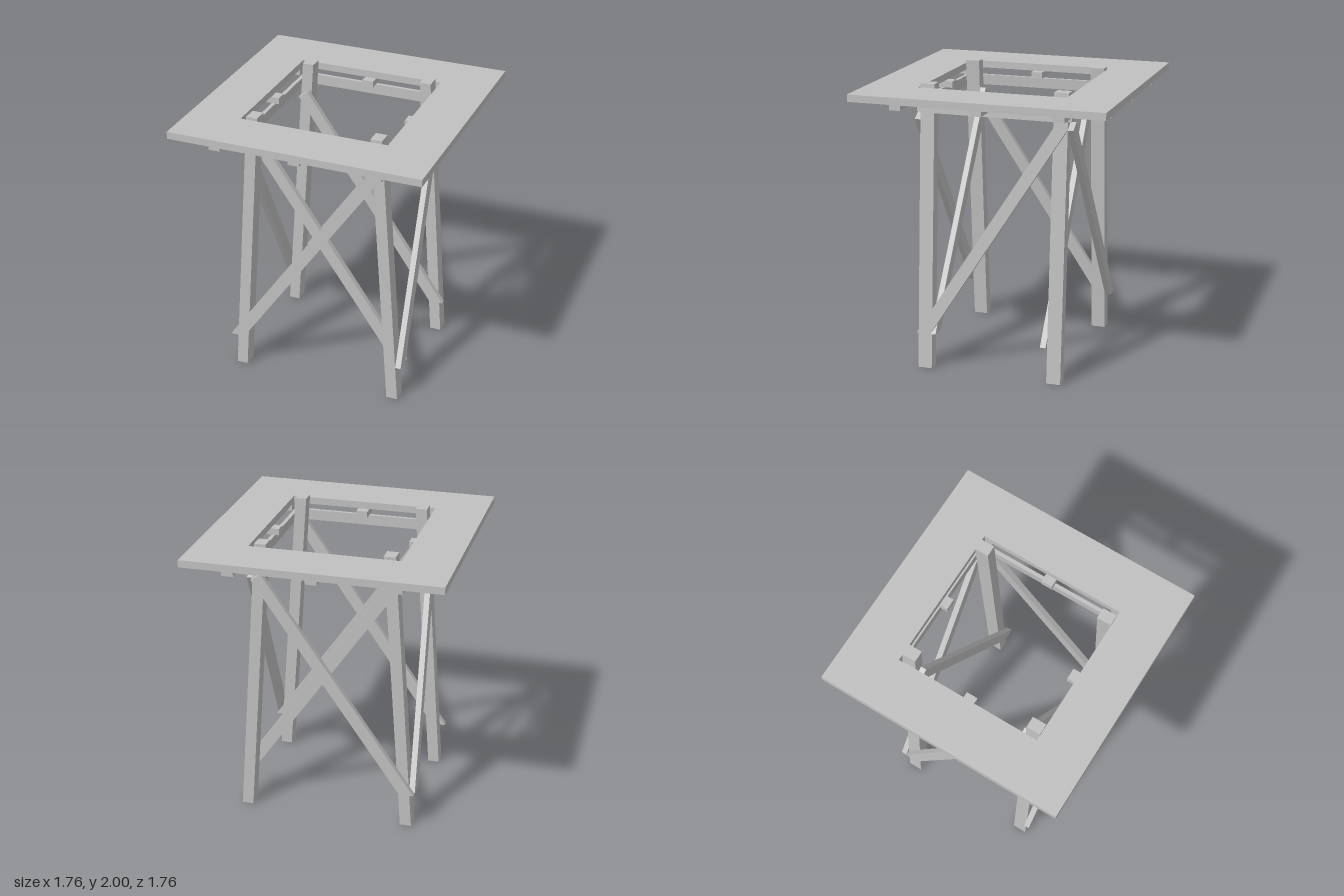
import * as THREE from 'three';

const LEAN = 0.07; // how far the legs lean inwards per unit of height

export function createModel() {
  const model = new THREE.Group();
  model.name = 'towerStand';
  const timber = new THREE.MeshStandardMaterial({ color: 0xc0c0c0 });
  timber.name = 'grey timber';

  const add = (name, geometry, parent = model) => {
    const mesh = new THREE.Mesh(geometry, timber);
    mesh.name = name;
    parent.add(mesh);
    return mesh;
  };
  const outline = (points) => new THREE.Shape(points.map(([x, y]) => new THREE.Vector2(x, y)));
  const square = (h) => [[-h, -h], [h, -h], [h, h], [-h, h]];

  // Plank cut to an outline in the xy plane, reaching from z to z + depth
  const plank = (points, depth, z = 0) =>
    new THREE.ExtrudeGeometry(outline(points), { depth, bevelEnabled: false }).translate(0, 0, z);

  // Plank turned to the +x side and leaned against the outside of the legs
  const sidePlank = (points, depth) => {
    const geometry = plank(points, depth).rotateY(Math.PI / 2);
    const p = geometry.attributes.position;
    for (let i = 0; i < p.count; i++) p.setX(i, p.getX(i) + 0.62 - LEAN * p.getY(i));
    geometry.computeVertexNormals();
    return geometry;
  };

  // Deck with a square opening
  const deckShape = outline(square(0.88));
  deckShape.holes.push(outline(square(0.52).reverse()));
  const deck = new THREE.ExtrudeGeometry(deckShape, { depth: 0.05, bevelEnabled: false });
  add('deck', deck.rotateX(-Math.PI / 2).translate(0, 1.93, 0));

  // Three short joists under each edge of the deck
  for (let side = 0; side < 4; side++) {
    const joists = new THREE.Group();
    joists.name = 'joists';
    joists.rotation.y = side * Math.PI / 2;
    for (const x of [-0.56, 0, 0.56]) {
      add('joist', new THREE.BoxGeometry(0.08, 0.045, 0.38).translate(x, 1.9075, 0.65), joists);
    }
    model.add(joists);
  }

  // Leaning legs
  const right = [[0.54, 0], [0.62, 0], [0.48, 2], [0.4, 2]];
  const left = right.map(([x, y]) => [-x, y]).reverse();
  for (const z of [0.42, -0.52]) {
    add('leg', plank(right, 0.1, z));
    add('leg', plank(left, 0.1, z));
  }

  // Front and back: a beam, an outer brace and a crossing inner brace
  const beam = [[-0.493, 1.81], [0.493, 1.81], [0.488, 1.885], [-0.488, 1.885]];
  const brace = [[-0.64, 0.265], [-0.537, 0.265], [0.5, 1.755], [0.43, 1.8]];
  const crossBrace = brace.map(([x, y]) => [-x, y]).reverse();
  for (const z of [0.52, -0.545]) add('beam', plank(beam, 0.025, z));
  for (const z of [0.52, -0.56]) add('outerBrace', plank(brace, 0.04, z));
  for (const z of [0.38, -0.42]) add('innerBrace', plank(crossBrace, 0.04, z));

  // Left and right: a beam and a single outer brace
  const sideBeam = [[-0.52, 1.81], [0.52, 1.81], [0.52, 1.885], [-0.52, 1.885]];
  const sideBrace = [[-0.52, 0.265], [-0.42, 0.265], [0.52, 1.755], [0.45, 1.8]];
  for (const turn of [0, Math.PI]) {
    add('sideBeam', sidePlank(sideBeam, 0.027)).rotation.y = turn;
    add('sideBrace', sidePlank(sideBrace, 0.04)).rotation.y = turn;
  }

  return model;
}
